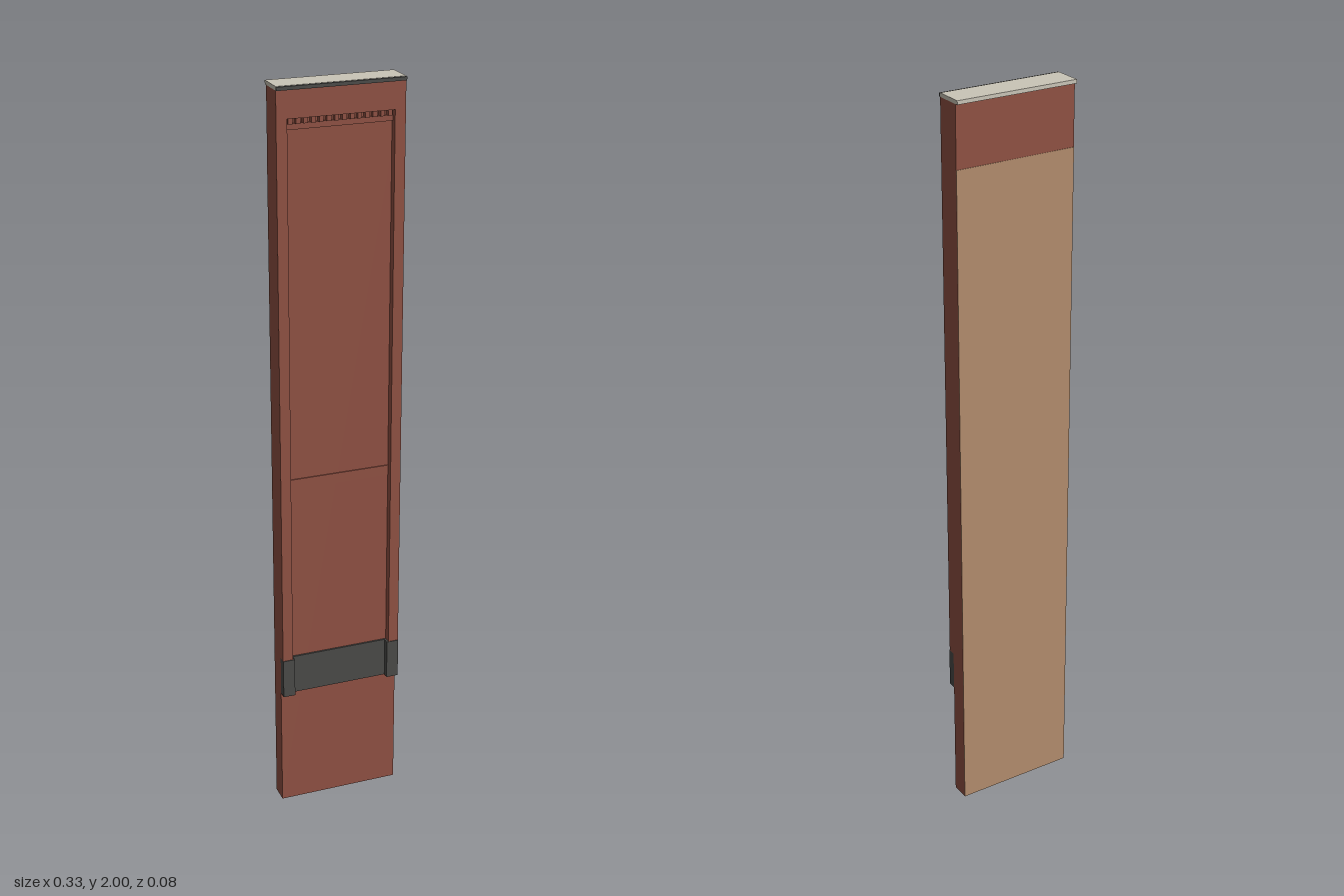
import * as THREE from 'three';

const brick = new THREE.MeshStandardMaterial({ name: 'brick red', color: 0x8f5143 });
const stone = new THREE.MeshStandardMaterial({ name: 'dark stone', color: 0x4a4a48 });
const coping = new THREE.MeshStandardMaterial({ name: 'pale coping', color: 0xcac5b7 });
const render = new THREE.MeshStandardMaterial({ name: 'tan render', color: 0xb28c6c });

export function createModel() {
  const group = new THREE.Group();

  // Box given by its extents on each axis
  const block = (name, material, [x0, x1], [y0, y1], [z0, z1]) => {
    const mesh = new THREE.Mesh(new THREE.BoxGeometry(x1 - x0, y1 - y0, z1 - z0), material);
    mesh.position.set((x0 + x1) / 2, (y0 + y1) / 2, (z0 + z1) / 2);
    mesh.name = name;
    group.add(mesh);
  };

  const W = 0.167, INNER = 0.139;
  const BACK = -0.033, FACE = 0.016, FRONT = 0.036;
  const TOP = 1.99, BAND0 = 0.34, BAND1 = 0.45, HEAD = 1.92;

  // Wall core and the tan skin on its back
  block('wallCore', brick, [-W, W], [0, TOP], [BACK, FACE]);
  block('backRender', render, [-W, W], [0, 1.83], [BACK - 0.001, BACK]);

  // Raised frame: pilasters, their stone feet, and the head across the top
  for (const [side, s] of [['left', 1], ['right', -1]]) {
    const span = (a, b) => [Math.min(s * a, s * b), Math.max(s * a, s * b)];
    block(side + 'Pilaster', brick, span(INNER, W), [BAND1, HEAD], [FACE, FRONT]);
    block(side + 'PilasterFoot', stone, span(0.134, W), [BAND0, BAND1], [FACE, FRONT + 0.002]);
  }
  block('head', brick, [-W, W], [HEAD, TOP], [FACE, FRONT]);

  // Stone band between the pilaster feet
  block('stoneBand', stone, [-0.134, 0.134], [BAND0, BAND1], [FACE, FACE + 0.005]);

  // Thin string course halfway up the recessed panel
  block('stringCourse', brick, [-INNER, INNER], [0.945, 0.972], [FACE, FACE + 0.003]);

  // Row of dentils below the head, with a thin course under it
  const teeth = 14, pitch = (2 * INNER) / teeth;
  for (let i = 0; i < teeth; i++) {
    const x = -INNER + (i + 0.5) * pitch;
    block('dentil', brick, [x - pitch * 0.28, x + pitch * 0.28], [1.905, HEAD], [FACE, FRONT - 0.006]);
  }
  block('dentilCourse', brick, [-INNER, INNER], [1.89, 1.905], [FACE, FACE + 0.006]);

  // Coping slab with a dark lip along the front
  block('coping', coping, [-W, W], [TOP, 2], [-0.042, FRONT]);
  block('copingLip', stone, [-W, W], [TOP, 1.999], [FRONT, 0.041]);

  return group;
}
